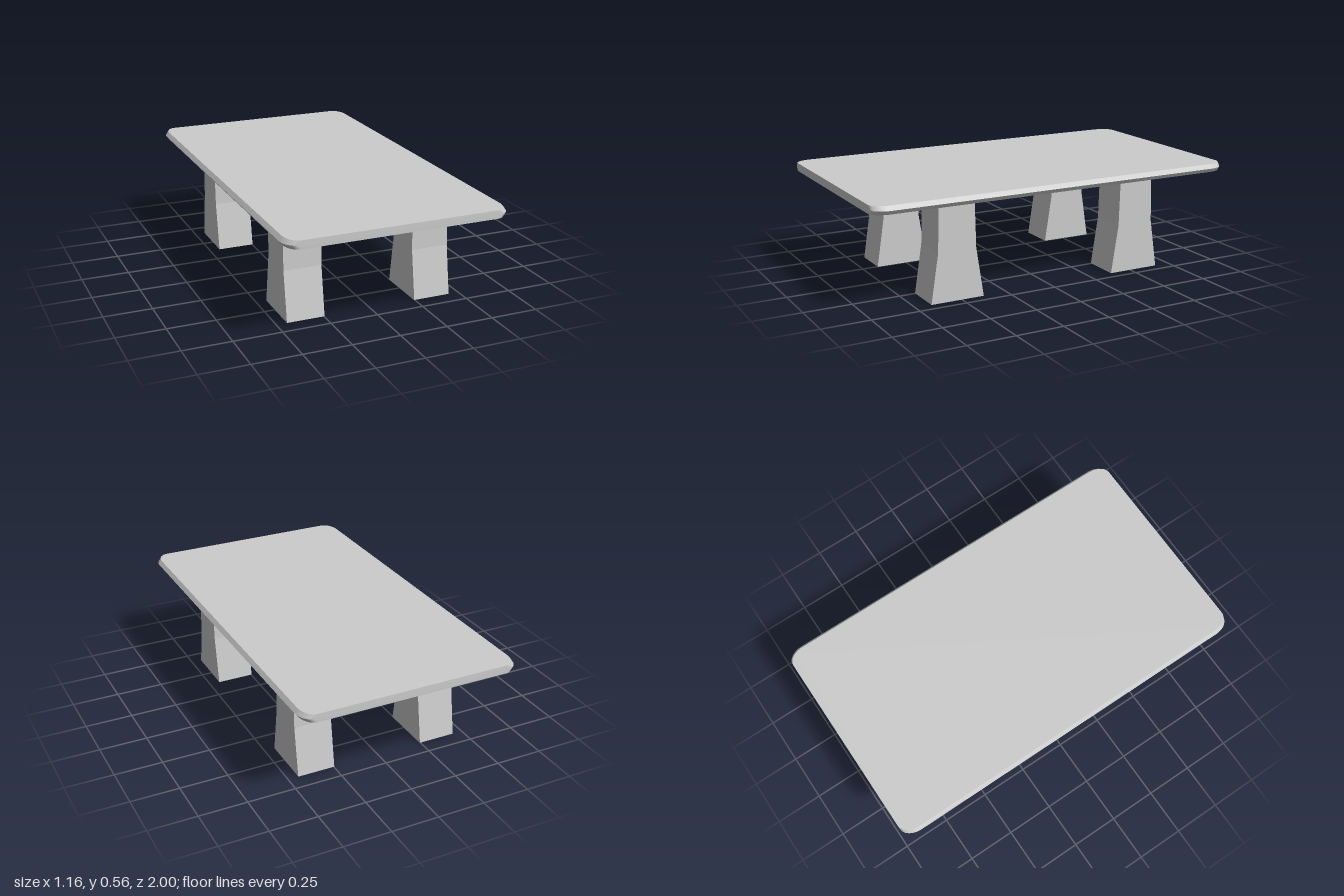
import * as THREE from 'three';
import { toCreasedNormals } from 'three/addons/utils/BufferGeometryUtils.js';

const TOP = 0.558, UNDER = 0.515, RIDGE = 0.536;

// Rounded slab whose long sides come to a ridge at mid-thickness
function tabletopGeometry() {
  const hx = 0.578, hz = 1, rx = 0.062, rz = 0.09;
  const outline = new THREE.Shape();
  [[1, 1], [-1, 1], [-1, -1], [1, -1]].forEach(([sx, sz], i) => {
    const start = i * Math.PI / 2;
    outline.absellipse(sx * (hx - rx), sz * (hz - rz), rx, rz, start, start + Math.PI / 2, false, 0);
  });
  const geometry = new THREE.ExtrudeGeometry(outline, {
    depth: TOP - UNDER, steps: 2, curveSegments: 8, bevelEnabled: false,
  });
  geometry.rotateX(-Math.PI / 2).translate(0, UNDER, 0);

  // Draw the top and bottom rims in across the width only
  const p = geometry.attributes.position;
  for (let i = 0; i < p.count; i++) {
    const y = p.getY(i);
    if (y > UNDER + 0.005 && y < TOP - 0.005) p.setY(i, RIDGE);
    else p.setX(i, p.getX(i) * 0.562 / hx);
  }
  return toCreasedNormals(geometry, 0.5);
}

// Square post that flares along z in its lower half
function legGeometry() {
  const geometry = new THREE.BoxGeometry(0.198, UNDER, 1, 1, 2, 1);
  geometry.translate(0, UNDER / 2, 0);
  const depths = [0.286, 0.206, 0.192]; // foot, middle, head
  const p = geometry.attributes.position;
  for (let i = 0; i < p.count; i++) {
    const level = Math.round(p.getY(i) / UNDER * 2);
    p.setZ(i, p.getZ(i) * depths[level]);
  }
  return geometry;
}

export function createModel() {
  const table = new THREE.Group();
  table.name = 'table';

  const smooth = new THREE.MeshStandardMaterial({ color: 0xcccccc });
  const flat = new THREE.MeshStandardMaterial({ color: 0xcccccc, flatShading: true });

  const top = new THREE.Mesh(tabletopGeometry(), smooth);
  top.name = 'tabletop';
  table.add(top);

  // Four legs, mirrored in x and z
  const geometry = legGeometry();
  for (const [zName, sz] of [['front', 1], ['back', -1]]) {
    for (const [xName, sx] of [['Left', 1], ['Right', -1]]) {
      const leg = new THREE.Mesh(geometry, flat);
      leg.name = `${zName}${xName}Leg`;
      leg.position.set(sx * 0.346, 0, sz * 0.522);
      table.add(leg);
    }
  }
  return table;
}
